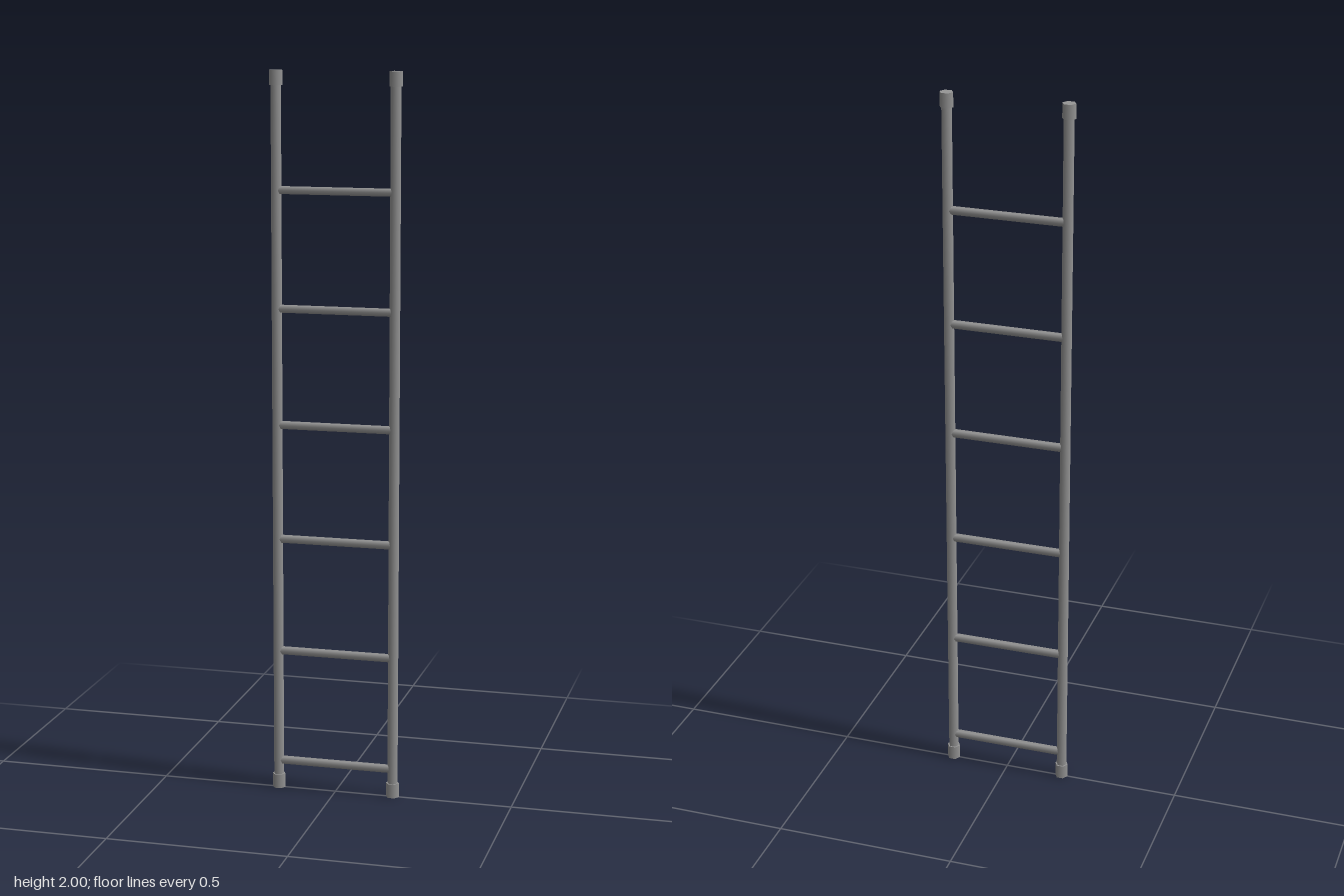
import * as THREE from 'three';

export function createModel() {
  const model = new THREE.Group();
  model.name = 'ladder';
  const material = new THREE.MeshStandardMaterial({ color: 0x969696 });

  const SIDES = 6, HEIGHT = 2, RAIL_X = 0.164, CAP_HEIGHT = 0.04;
  const RUNGS = 6, FIRST_RUNG = 0.08, RUNG_STEP = 0.3204;

  // Six-sided bar with softly shaded sides
  const bar = (name, radius, length, x, y) => {
    const geometry = new THREE.CylinderGeometry(radius, radius, length, SIDES);
    const mesh = new THREE.Mesh(geometry, material);
    mesh.name = name;
    mesh.position.set(x, y, 0);
    model.add(mesh);
    return mesh;
  };

  // Side rails with a wider cap at each end, corners pointing sideways
  for (const [side, sign] of [['left', 1], ['right', -1]]) {
    const x = sign * RAIL_X;
    const parts = [
      bar(side + 'Rail', 0.0145, HEIGHT - CAP_HEIGHT, x, HEIGHT / 2),
      bar(side + 'TopCap', 0.0185, CAP_HEIGHT, x, HEIGHT - CAP_HEIGHT / 2),
      bar(side + 'BottomCap', 0.0185, CAP_HEIGHT, x, CAP_HEIGHT / 2),
    ];
    parts.forEach((part) => part.geometry.rotateY(Math.PI / 2));
  }

  // Evenly spaced rungs between the rails
  for (let i = 0; i < RUNGS; i++) {
    bar('rung' + (i + 1), 0.0117, RAIL_X * 2, 0, FIRST_RUNG + i * RUNG_STEP)
      .geometry.rotateZ(Math.PI / 2);
  }
  return model;
}
